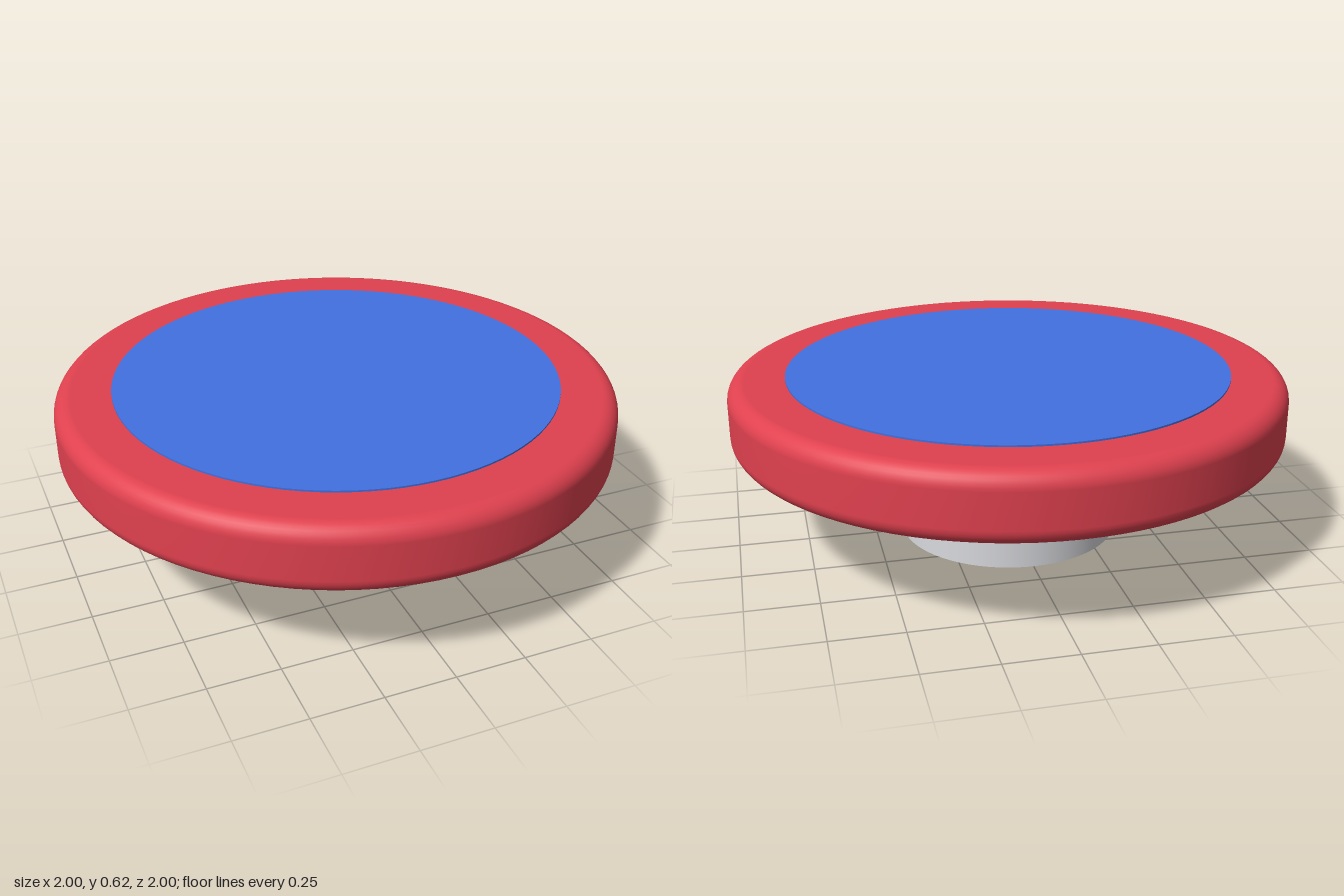
import * as THREE from 'three';

const SEGMENTS = 96;

export function createModel() {
  const model = new THREE.Group();
  model.name = 'pushButton';

  const material = (name, color) => {
    const m = new THREE.MeshStandardMaterial({ color });
    m.name = name;
    return m;
  };
  const red = material('red', 0xe0414f);
  const blue = material('blue', 0x4170e0);
  const metal = material('lightGrey', 0xd9dade);

  const add = (name, geometry, mat, y = 0) => {
    const mesh = new THREE.Mesh(geometry, mat);
    mesh.name = name;
    mesh.position.y = y;
    model.add(mesh);
  };
  const disc = (name, radius, bottom, top, mat) =>
    add(name, new THREE.CylinderGeometry(radius, radius, top - bottom, SEGMENTS), mat, (bottom + top) / 2);

  // Stem and the thin collar under the head
  disc('stem', 0.4, 0, 0.345, metal);
  disc('collar', 0.445, 0.332, 0.368, metal);

  // Wide head with rounded rims
  const bottom = 0.366, top = 0.61, bevel = 0.06;
  const profile = [new THREE.Vector2(0, bottom)];
  const corner = (y, start) => {
    for (let i = 0; i <= 8; i++) {
      const a = start + (i / 8) * Math.PI / 2;
      profile.push(new THREE.Vector2(1 - bevel + bevel * Math.cos(a), y + bevel * Math.sin(a)));
    }
  };
  corner(bottom + bevel, -Math.PI / 2);
  corner(top - bevel, 0);
  profile.push(new THREE.Vector2(0, top));
  add('head', new THREE.LatheGeometry(profile, SEGMENTS), red);

  // Thin coloured face on top
  disc('topFace', 0.797, 0.608, 0.616, blue);

  return model;
}
